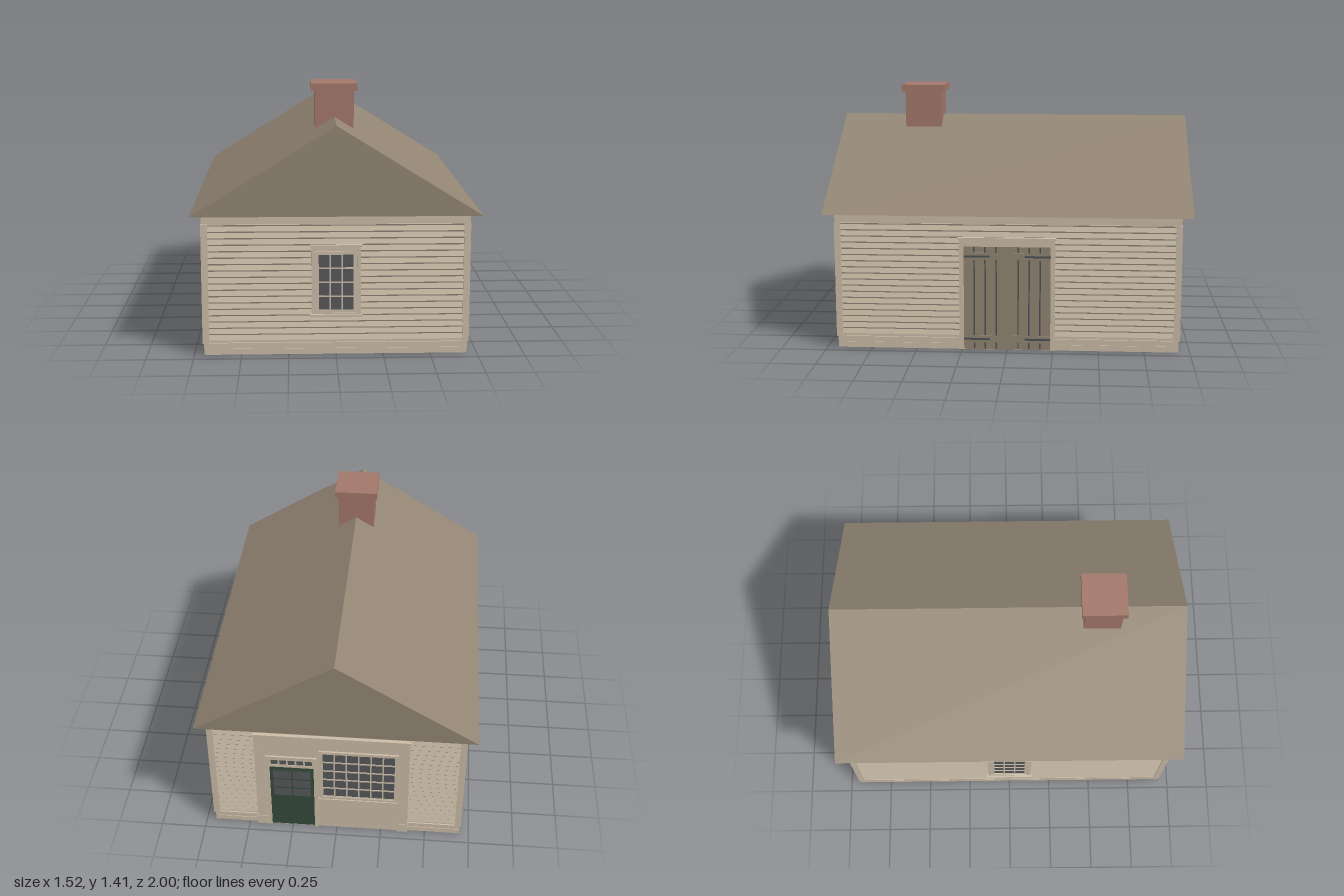
import * as THREE from 'three';

const mat = (name, color, side = THREE.FrontSide) => {
  const m = new THREE.MeshStandardMaterial({ color, side });
  m.name = name;
  return m;
};

export function createModel() {
  const paint = mat('tan paint', 0xcbbda7);
  const shingle = mat('brown shingle', 0x928573);
  const brick = mat('red brick', 0xa3776a);
  const glassMat = mat('dark glass', 0x57585a);
  const iron = mat('dark iron', 0x4b5156);
  const green = mat('green paint', 0x35493a);

  const house = new THREE.Group();
  house.name = 'house';

  const add = (parent, name, geo, material) => {
    const mesh = new THREE.Mesh(geo, material);
    mesh.name = name;
    parent.add(mesh);
    return mesh;
  };
  // Box given by its limits in each axis
  const block = (parent, name, material, x0, x1, y0, y1, z0, z1) =>
    add(parent, name, new THREE.BoxGeometry(x1 - x0, y1 - y0, z1 - z0)
      .translate((x0 + x1) / 2, (y0 + y1) / 2, (z0 + z1) / 2), material);

  // Lapped clapboards: a sawtooth profile run along the wall
  const COURSE = 0.0346, COUNT = 18, BASE = 0.083;
  const siding = (parent, x0, x1) => {
    const s = new THREE.Shape();
    s.moveTo(-0.002, BASE);
    for (let i = 0; i < COUNT; i++) {
      const y = BASE + i * COURSE;
      s.lineTo(0.01, y);
      s.lineTo(0.003, y + COURSE - 0.008);
    }
    s.lineTo(0.01, BASE + COUNT * COURSE);
    s.lineTo(-0.002, BASE + COUNT * COURSE);
    const geo = new THREE.ExtrudeGeometry(s, { depth: x1 - x0, bevelEnabled: false });
    geo.rotateY(-Math.PI / 2).translate(x1, 0, 0);
    add(parent, 'clapboards', geo, paint);
  };

  // Glass plate with a grid of glazing bars
  const panes = (parent, name, x0, x1, y0, y1, cols, rows, z, bar, barMat) => {
    block(parent, name + 'Glass', glassMat, x0, x1, y0, y1, z - 0.004, z);
    for (let i = 0; i <= cols; i++) {
      const x = x0 + (x1 - x0) * i / cols;
      block(parent, name + 'Bar', barMat, x - bar / 2, x + bar / 2, y0, y1, z - 0.003, z + 0.004);
    }
    for (let j = 0; j <= rows; j++) {
      const y = y0 + (y1 - y0) * j / rows;
      block(parent, name + 'Bar', barMat, x0 - bar / 2, x1 + bar / 2, y - bar / 2, y + bar / 2, z - 0.003, z + 0.0035);
    }
  };

  // Picture-frame trim around an opening
  const frame = (parent, name, x0, x1, y0, y1, w, z) => {
    for (const x of [x0, x1 - w]) block(parent, name, paint, x, x + w, y0, y1, 0, z);
    for (const y of [y0, y1 - w]) block(parent, name, paint, x0 + w, x1 - w, y, y + w, 0, z);
  };

  const sashWindow = (parent) => {
    const g = new THREE.Group();
    g.name = 'sashWindow';
    parent.add(g);
    block(g, 'windowBacking', paint, -0.12, 0.12, 0.22, 0.59, 0, 0.013);
    frame(g, 'windowCasing', -0.13, 0.13, 0.215, 0.592, 0.02, 0.025);
    frame(g, 'sashFrame', -0.11, 0.11, 0.235, 0.565, 0.014, 0.02);
    panes(g, 'window', -0.095, 0.095, 0.245, 0.55, 3, 4, 0.0155, 0.008, paint);
    block(g, 'windowCap', paint, -0.137, 0.137, 0.59, 0.6, 0, 0.031);
    block(g, 'windowSill', paint, -0.137, 0.137, 0.212, 0.227, 0, 0.037);
  };

  // Wall in its own frame: x along the wall, z outward from the wall face
  const wall = (name, half, dist, turn, spans) => {
    const g = new THREE.Group();
    g.name = name;
    g.rotation.y = turn;
    g.position.set(Math.sin(turn) * dist, 0, Math.cos(turn) * dist);
    house.add(g);
    block(g, 'wallPanel', paint, -half, half, 0, 0.76, -0.01, 0);
    spans.forEach(([a, b]) => siding(g, a, b));
    block(g, 'lowerSkirt', paint, -half - 0.007, half + 0.007, 0.004, 0.034, -0.005, 0.007);
    block(g, 'skirtGroove', paint, -half - 0.004, half + 0.004, 0.034, 0.041, -0.005, 0.004);
    block(g, 'upperSkirt', paint, -half - 0.008, half + 0.008, 0.041, 0.066, -0.005, 0.008);
    block(g, 'frieze', paint, -half - 0.012, half + 0.012, 0.71, 0.76, -0.005, 0.012);
    for (const s of [-1, 1]) {
      const a = s * (half - 0.02), b = s * (half + 0.015);
      block(g, 'cornerBoard', paint, Math.min(a, b), Math.max(a, b), 0.066, 0.71, -0.005, 0.015);
    }
    return g;
  };

  const front = wall('frontWall', 0.69, 0.93, 0, [[-0.67, 0.67]]);
  const right = wall('rightWall', 0.93, 0.69, Math.PI / 2, [[-0.91, -0.25], [-0.25, 0.25], [0.25, 0.91]]);
  const back = wall('backWall', 0.69, 0.93, Math.PI, [[-0.67, -0.44], [0.39, 0.67]]);
  const left = wall('leftWall', 0.93, 0.69, -Math.PI / 2, [[-0.91, 0.91]]);
  sashWindow(front);
  sashWindow(left);

  // Double plank doors with strap hinges
  const barn = new THREE.Group();
  barn.name = 'doublePlankDoor';
  right.add(barn);
  block(barn, 'doorPlanks', shingle, -0.24, 0.24, 0.005, 0.587, 0, 0.013);
  block(barn, 'doorHeader', paint, -0.26, 0.26, 0.585, 0.625, 0, 0.022);
  block(barn, 'doorCap', paint, -0.268, 0.268, 0.623, 0.635, 0, 0.03);
  for (const s of [-1, 1]) {
    const span = (name, m, a, b, y0, y1, z0, z1) =>
      block(barn, name, m, Math.min(s * a, s * b), Math.max(s * a, s * b), y0, y1, z0, z1);
    span('doorCasing', paint, 0.237, 0.262, 0.005, 0.59, 0, 0.022);
    for (const x of [0.06, 0.12, 0.18]) {
      for (const [y0, y1] of [[0.01, 0.045], [0.085, 0.51], [0.55, 0.582]]) {
        span('plankGap', iron, x - 0.004, x + 0.004, y0, y1, 0.01, 0.0136);
      }
    }
    for (const y of [0.065, 0.53]) {
      span('doorBatten', shingle, 0.03, 0.237, y - 0.02, y + 0.02, 0.01, 0.017);
      span('strapHinge', iron, 0.095, 0.24, y - 0.005, y + 0.005, 0.015, 0.022);
    }
  }
  block(barn, 'doorMeetingGap', shingle, -0.003, 0.003, 0.01, 0.58, 0.01, 0.0145);

  // Shopfront: door, transom and wide display window
  const shop = new THREE.Group();
  shop.name = 'shopfront';
  back.add(shop);
  block(shop, 'shopPanel', paint, -0.45, 0.4, 0, 0.66, 0, 0.009);
  block(shop, 'shopHeader', paint, -0.45, 0.4, 0.63, 0.685, 0, 0.017);
  block(shop, 'shopCornice', paint, -0.455, 0.405, 0.68, 0.692, 0, 0.021);
  for (const x of [-0.45, 0.345]) {
    block(shop, 'pilaster', paint, x, x + 0.055, 0, 0.63, 0, 0.015);
    block(shop, 'pilasterBase', paint, x - 0.003, x + 0.058, 0, 0.06, 0, 0.018);
  }
  for (const x of [-0.388, -0.125]) block(shop, 'entryJamb', paint, x, x + 0.018, 0, 0.53, 0, 0.019);
  block(shop, 'entryHead', paint, -0.388, -0.107, 0.52, 0.535, 0, 0.02);
  panes(shop, 'transom', -0.365, -0.13, 0.47, 0.512, 5, 1, 0.0125, 0.008, paint);
  block(shop, 'entryDoor', green, -0.37, -0.125, 0.004, 0.45, 0, 0.011);
  panes(shop, 'entryDoor', -0.355, -0.14, 0.235, 0.43, 2, 3, 0.0125, 0.006, green);
  panes(shop, 'displayWindow', -0.078, 0.325, 0.25, 0.575, 6, 5, 0.0125, 0.008, paint);
  frame(shop, 'displayFrame', -0.095, 0.342, 0.233, 0.592, 0.016, 0.02);
  block(shop, 'displaySill', paint, -0.1, 0.345, 0.215, 0.235, 0, 0.026);

  // Gable roof
  const gable = new THREE.Shape();
  gable.moveTo(-0.76, 0.76);
  gable.lineTo(0.76, 0.76);
  gable.lineTo(0, 1.23);
  gable.closePath();
  add(house, 'roof', new THREE.ExtrudeGeometry(gable, { depth: 2, bevelEnabled: false })
    .translate(0, 0, -1), shingle);

  // Chimney running down through the ceiling
  block(house, 'chimneyStack', brick, -0.105, 0.105, 0.6, 1.37, 0.42, 0.63);
  block(house, 'chimneyCap', brick, -0.124, 0.124, 1.37, 1.41, 0.4, 0.65);

  return house;
}
